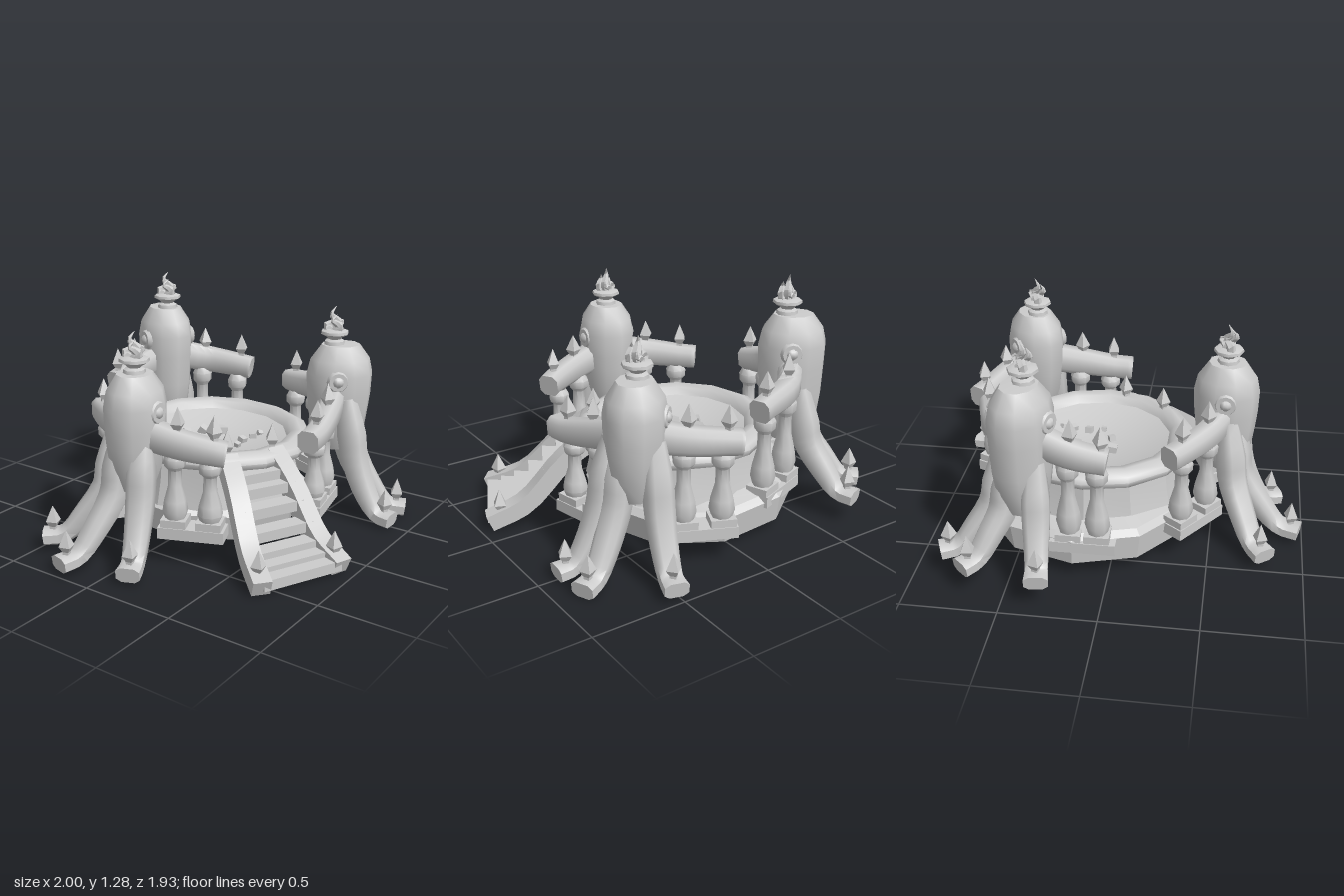
import * as THREE from 'three';
import { toCreasedNormals } from 'three/addons/utils/BufferGeometryUtils.js';

const mat = new THREE.MeshStandardMaterial({ color: 0xcccccc, side: THREE.DoubleSide });
const V = (x, y, z) => new THREE.Vector3(x, y, z);
const UP = V(0, 1, 0);

function add(parent, name, geo, x = 0, y = 0, z = 0, crease = 0.6) {
  const m = new THREE.Mesh(toCreasedNormals(geo, crease), mat);
  m.name = name;
  m.position.set(x, y, z);
  parent.add(m);
  return m;
}
const lathe = (pts, sides) =>
  new THREE.LatheGeometry(pts.map(p => new THREE.Vector2(p[0], p[1])), sides);
const squarish = v => Math.sign(v) * Math.abs(v) ** 0.65;

// Capped sweep, squarish in section; sizes are [halfWidth, halfHeight] along the path, ref is the width direction
function sweep(points, sizes, ref, sides = 8, steps = 12) {
  const curve = new THREE.CatmullRomCurve3(points);
  const pos = [], idx = [], ringPoint = (i, j) => i * sides + (j % sides);
  for (let i = 0; i <= steps; i++) {
    const u = i / steps, c = curve.getPoint(u), t = curve.getTangent(u);
    const side = ref.clone().addScaledVector(t, -ref.dot(t)).normalize();
    const nrm = t.clone().cross(side);
    const f = u * (sizes.length - 1), k = Math.min(Math.floor(f), sizes.length - 2);
    const w = THREE.MathUtils.lerp(sizes[k][0], sizes[k + 1][0], f - k);
    const h = THREE.MathUtils.lerp(sizes[k][1], sizes[k + 1][1], f - k);
    for (let j = 0; j < sides; j++) {
      const a = (j + 0.5) / sides * Math.PI * 2;
      const p = c.clone().addScaledVector(side, squarish(Math.cos(a)) * w)
        .addScaledVector(nrm, squarish(Math.sin(a)) * h);
      pos.push(p.x, p.y, p.z);
    }
  }
  for (let i = 0; i < steps; i++) for (let j = 0; j < sides; j++) {
    const a = ringPoint(i, j), b = ringPoint(i, j + 1), c = ringPoint(i + 1, j + 1), d = ringPoint(i + 1, j);
    idx.push(a, b, c, a, c, d);
  }
  for (let j = 1; j < sides - 1; j++) {
    idx.push(0, j + 1, j);
    idx.push(ringPoint(steps, 0), ringPoint(steps, j), ringPoint(steps, j + 1));
  }
  const g = new THREE.BufferGeometry();
  g.setAttribute('position', new THREE.Float32BufferAttribute(pos, 3));
  g.setIndex(idx);
  return g;
}

function spike(parent, x, y, z) {
  const g = lathe([[0, -0.02], [0.022, -0.02], [0.022, 0.015], [0.042, 0.045], [0.02, 0.09], [0, 0.13]], 4);
  add(parent, 'spike', g, x, y, z, 0.3).rotation.y = x * 5 + z * 3;
}

// Vase-shaped post on a square foot
function baluster(parent, x, y, z, k, yaw) {
  add(parent, 'balusterFoot', new THREE.BoxGeometry(0.13, 0.04, 0.12), x, y + 0.02, z).rotation.y = yaw;
  add(parent, 'baluster', lathe([[0.05, 0.03], [0.066, k * 0.2], [0.058, k * 0.34], [0.036, k * 0.55],
    [0.034, k * 0.76], [0.055, k * 0.82], [0.058, k * 0.92], [0.04, k]], 8), x, y, z, 0.9);
}

// Shallow dish with a group of wavering flame tongues
function torch(parent, x, y, z) {
  add(parent, 'torchDish', lathe([[0, -0.01], [0.06, -0.01], [0.055, 0.02], [0.035, 0.03], [0.045, 0.042],
    [0.078, 0.06], [0.076, 0.075], [0.045, 0.085], [0, 0.085]], 8), x, y, z, 0.9);
  [[0, 0, 0.14], [0.03, 0.01, 0.07], [-0.025, 0.02, 0.1], [0, -0.03, 0.08]].forEach(([dx, dz, h], i) => {
    const s = i % 2 ? -0.015 : 0.015;
    const path = [V(x + dx * 0.5, y + 0.07, z + dz * 0.5), V(x + dx + s, y + 0.07 + h * 0.35, z + dz + s),
      V(x + dx - s, y + 0.07 + h * 0.7, z + dz - s), V(x + dx + s * 0.6, y + 0.07 + h, z + dz)];
    add(parent, 'flame', sweep(path, [[0.026, 0.026], [0.022, 0.022], [0.011, 0.011], [0.001, 0.001]], V(1, 0, 0), 5, 8));
  });
}

const CX = 0.14, CZ = -0.04;

// Tentacled pillar: head, side eyes, two railing arms on balusters, three legs
function pillar({ name, x, z, top, floor, bulge, feet, arms }) {
  const g = new THREE.Group();
  g.name = name;
  const out = V(x - CX, 0, z - CZ).normalize();
  const body = add(g, 'body', lathe([[0, 0.36], [0.1, 0.38], [0.145, 0.5], [0.16, 0.62], [0.168, top - 0.28],
    [0.172, top - 0.16], [0.155, top - 0.08], [0.1, top], [0, top + 0.005]], 10),
  x + out.x * bulge, 0, z + out.z * bulge, 0.75);
  body.rotation.y = Math.atan2(out.x, out.z);
  body.scale.set(0.9, 1, 1 + bulge * 2);
  torch(g, x, top, z);

  const tan = V(out.z, 0, -out.x);
  for (const s of [-1, 1]) {
    const eye = new THREE.Group();
    eye.name = 'eye';
    eye.position.set(x, top - 0.18, z).addScaledVector(tan, s * 0.135);
    eye.rotation.y = Math.atan2(tan.x * s, tan.z * s);
    add(eye, 'eyeRing', new THREE.TorusGeometry(0.04, 0.022, 6, 12), 0, 0, 0, 1);
    add(eye, 'eyeball', new THREE.SphereGeometry(0.036, 10, 6), 0, 0, 0, 1);
    g.add(eye);
  }

  for (const { pts, y } of arms) {
    const [a, b, e] = pts;
    const start = V(x, y[0], z).addScaledVector(out, 0.02);
    add(g, 'arm', sweep([start, V(a[0], y[1], a[1]), V(b[0], y[2], b[1]), V(e[0], y[3], e[1])],
      [[0.085, 0.07], [0.075, 0.062], [0.065, 0.06], [0.063, 0.06]], UP), 0, 0, 0, 0.9);
    const ang = Math.atan2(-(b[1] - a[1]), b[0] - a[0]);
    const along = V(a[0] - b[0], 0, a[1] - b[1]).normalize();
    // posts sit slightly inward and towards the body
    const foot = p => V(p[0] + along.x * 0.02, 0, p[1] + along.z * 0.02)
      .addScaledVector(V(CX - p[0], 0, CZ - p[1]).normalize(), 0.015);
    [a, b].forEach((p, i) => {
      spike(g, p[0], y[i + 1] + 0.06, p[1]);
      const f = foot(p);
      baluster(g, f.x, floor, f.z, y[i + 1] - 0.05 - floor, ang);
    });
    const mid = foot([(a[0] + b[0]) / 2, (a[1] + b[1]) / 2]);
    add(g, 'footing', new THREE.BoxGeometry(0.34, 0.06, 0.13), mid.x, floor - 0.03, mid.z).rotation.y = ang;
  }

  // legs spring from spread roots under the body
  for (const [fx, fz, fy] of feet) {
    const spread = THREE.MathUtils.clamp(V(fx - x, 0, fz - z).dot(tan) * 0.3, -0.085, 0.085);
    const root = V(x, 0, z).addScaledVector(tan, spread).addScaledVector(out, bulge);
    const d = V(fx, 0, fz).sub(root), L = d.length();
    d.normalize();
    const at = (r, y) => root.clone().addScaledVector(d, r).setY(y);
    add(g, 'leg', sweep([at(0.02, 0.68), at(0.07, 0.5), at(0.1, 0.33 + fy * 0.4), at(L * 0.5, 0.13 + fy * 0.9),
      at(L * 0.75, fy + 0.012), at(L, fy)],
    [[0.05, 0.06], [0.072, 0.075], [0.072, 0.068], [0.064, 0.058], [0.058, 0.042], [0.064, 0.042]],
    V(-d.z, 0, d.x), 8, 14), 0, 0, 0, 0.9);
    spike(g, fx - d.x * 0.05, fy + 0.04, fz - d.z * 0.05);
  }
  return g;
}

function basin() {
  const g = new THREE.Group();
  g.name = 'basin';
  g.position.set(CX, 0, CZ);
  // tilted base with drum wall, open underneath
  const base = add(g, 'base', lathe([[0.55, 0], [0.575, 0.14], [0.54, 0.17], [0.46, 0.2]], 10), 0.04, 0.05, -0.09, 0.3);
  base.rotation.x = 0.08;
  add(g, 'drum', lathe([[0.5, 0.17], [0.47, 0.3], [0.455, 0.44]], 12), 0, 0.03, -0.02, 0.3);
  add(g, 'underside', new THREE.CircleGeometry(0.3, 8).rotateX(Math.PI / 2), 0, 0.28, 0);

  const bowl = new THREE.Group();
  bowl.name = 'bowl';
  bowl.position.y = 0.03;
  bowl.rotation.x = 0.03;
  g.add(bowl);
  add(bowl, 'rim', lathe([[0.4, 0.42], [0.47, 0.4], [0.525, 0.42], [0.535, 0.45], [0.52, 0.475], [0.47, 0.5],
    [0.42, 0.49], [0.395, 0.45]], 14), 0, 0, 0, 0.9);
  add(bowl, 'bowlFloor', lathe([[0, 0.39], [0.25, 0.4], [0.42, 0.46]], 14), 0, 0, 0, 0.9);
  // loose stones in the bowl
  [[0.05, -0.11, 3], [0.11, -0.22, 2.5], [0.2, -0.17, 3], [0.26, -0.09, 3.4], [0.07, 0.01, 2.2],
    [0.21, 0.09, 2.4], [0.3, 0.1, 2.4], [0.13, 0.11, 1.8], [0.36, 0.11, 1.8]].forEach(([x, z, s], i) => {
    const m = add(bowl, 'stone', new THREE.BoxGeometry(s * 0.016, s * 0.014, s * 0.016), x - CX, 0.41, z - CZ);
    m.rotation.set(0.2 * (i % 3), i * 0.9, 0.15);
  });
  return g;
}

function stairs() {
  const g = new THREE.Group();
  g.name = 'stairs';
  const heights = [0.48, 0.35, 0.13, 0.045];
  const rail = (top, bottom) => [0, 0.3, 0.66, 1].map((t, i) =>
    V(THREE.MathUtils.lerp(top[0], bottom[0], t), heights[i], THREE.MathUtils.lerp(top[1], bottom[1], t)));
  const left = rail([-0.19, 0.27], [-0.58, 0.74]), right = rail([0.04, 0.4], [-0.155, 0.94]);
  for (const path of [left, right]) {
    const dir = path[3].clone().sub(path[0]).setY(0).normalize();
    add(g, 'rail', sweep(path, [[0.062, 0.062], [0.06, 0.055]], V(-dir.z, 0, dir.x), 4, 10), 0, 0, 0, 0.5);
    spike(g, path[0].x, 0.51, path[0].z);
    spike(g, path[3].x - dir.x * 0.06, 0.09, path[3].z - dir.z * 0.06);
  }
  const cl = new THREE.CatmullRomCurve3(left), cr = new THREE.CatmullRomCurve3(right);
  const n = 8;
  for (let i = 0; i < n; i++) {
    const a = cl.getPoint((i + 0.5) / n), b = cr.getPoint((i + 0.5) / n);
    const mid = a.clone().add(b).multiplyScalar(0.5);
    const m = add(g, 'step', new THREE.BoxGeometry(Math.hypot(a.x - b.x, a.z - b.z), 0.055, 0.09),
      mid.x, mid.y - 0.005, mid.z);
    m.rotation.y = Math.atan2(-(b.z - a.z), b.x - a.x);
  }
  return g;
}

export function createModel() {
  const model = new THREE.Group();
  model.add(basin(), stairs());
  model.add(pillar({ name: 'frontPillar', x: 0.56, z: 0.47, top: 0.97, floor: 0.2, bulge: 0.035,
    feet: [[0.5, 0.9, 0.045], [0.71, 0.88, 0.045], [0.98, 0.53, 0.065]],
    arms: [{ pts: [[0.32, 0.57], [0.14, 0.61], [0.03, 0.62]], y: [0.7, 0.63, 0.59, 0.58] },
      { pts: [[0.71, 0.28], [0.79, 0.1], [0.82, 0.04]], y: [0.7, 0.66, 0.64, 0.635] }] }));
  model.add(pillar({ name: 'sidePillar', x: -0.55, z: -0.04, top: 0.98, floor: 0.21, bulge: 0,
    feet: [[-0.8, -0.47, 0.08], [-0.98, -0.2, 0.065], [-0.87, 0.15, 0.06]],
    arms: [{ pts: [[-0.47, -0.26], [-0.35, -0.42], [-0.29, -0.49]], y: [0.7, 0.67, 0.65, 0.645] },
      { pts: [[-0.52, 0.2], [-0.45, 0.37], [-0.42, 0.42]], y: [0.7, 0.65, 0.62, 0.61] }] }));
  model.add(pillar({ name: 'backPillar', x: 0.41, z: -0.57, top: 1.07, floor: 0.23, bulge: 0.035,
    feet: [[0.31, -0.95, 0.165], [0.71, -0.87, 0.16], [0.86, -0.71, 0.14]],
    arms: [{ pts: [[0.18, -0.64], [0.03, -0.64], [0, -0.64]], y: [0.8, 0.73, 0.7, 0.695] },
      { pts: [[0.6, -0.43], [0.68, -0.22], [0.7, -0.16]], y: [0.8, 0.74, 0.71, 0.7] }] }));
  return model;
}
